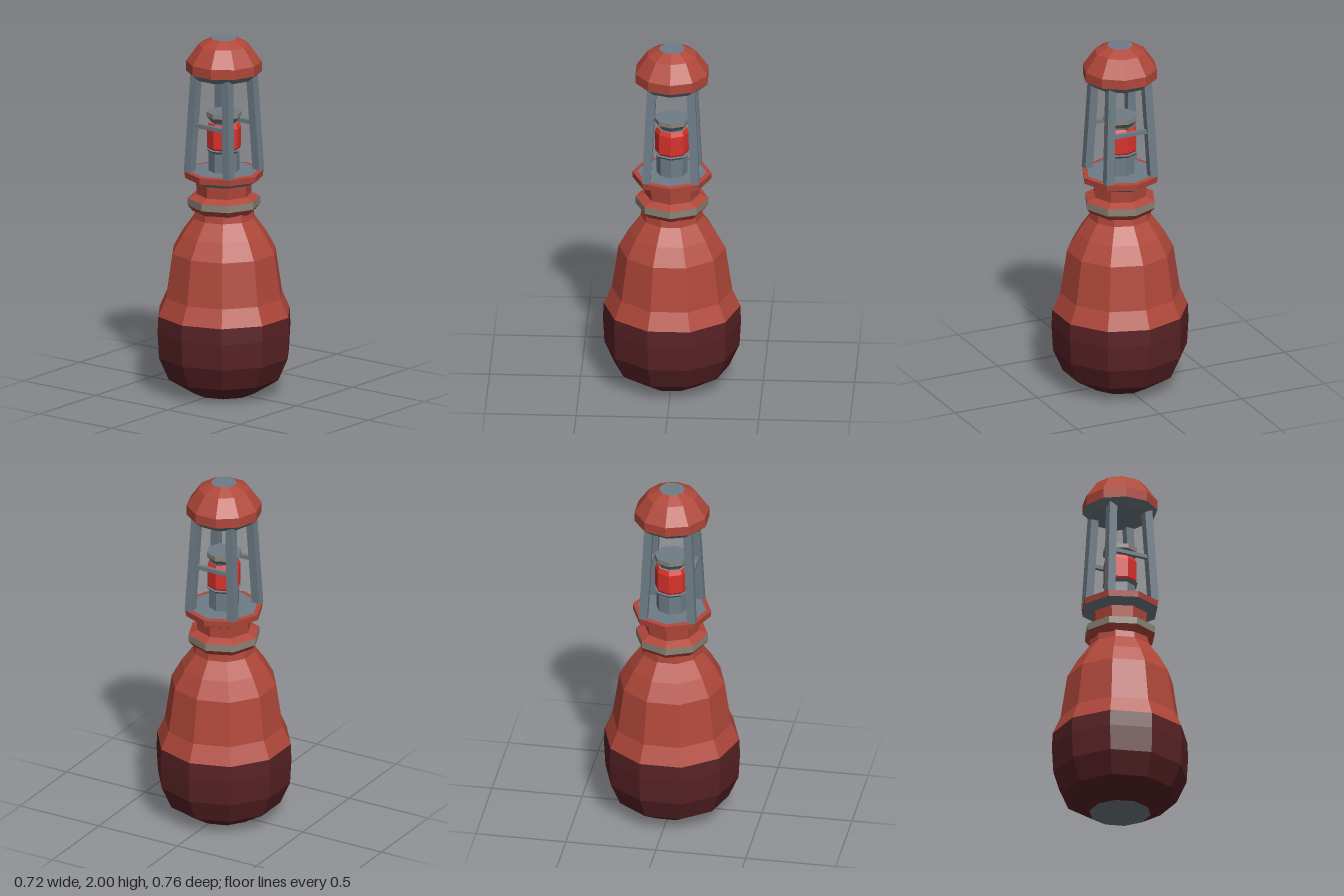
import * as THREE from 'three';

const material = (name, color) => {
  const m = new THREE.MeshStandardMaterial({ color });
  m.name = name;
  return m;
};

export function createModel() {
  const red = material('buoy red', 0xb0473a);
  const maroon = material('waterline maroon', 0x582226);
  const steel = material('steel grey', 0x6e7c86);
  const trim = material('warm grey trim', 0x8b8477);
  const glass = material('lamp red', 0xd8332c);

  const model = new THREE.Group();
  model.name = 'buoy';

  // Faceted mesh with hard edges
  const add = (name, geometry, mat, parent = model) => {
    const g = geometry.index ? geometry.toNonIndexed() : geometry;
    g.computeVertexNormals();
    const mesh = new THREE.Mesh(g, mat);
    mesh.name = name;
    parent.add(mesh);
    return mesh;
  };

  // Open wall turned from [radius, height] pairs, listed upward
  const wall = (name, profile, sides, mat, parent, turn = 0) => {
    const points = profile.map(([r, y]) => new THREE.Vector2(r, y));
    return add(name, new THREE.LatheGeometry(points, sides).rotateY(turn), mat, parent);
  };

  // Flat polygon facing up or down
  const disc = (name, r, y, sides, mat, up, parent, turn = 0) => {
    const g = new THREE.CylinderGeometry(up ? 0 : r, up ? r : 0, 0, sides, 1, true);
    return add(name, g.rotateY(turn).translate(0, y, 0), mat, parent);
  };

  // Square beam between two points, sheared so its ends stay level
  const post = (name, bottom, top, size, parent) => {
    const h = top.y - bottom.y;
    const g = new THREE.BoxGeometry(size, h, size).translate(0, h / 2, 0);
    const p = g.attributes.position;
    for (let i = 0; i < p.count; i++) {
      const t = p.getY(i) / h;
      p.setX(i, p.getX(i) + t * (top.x - bottom.x));
      p.setZ(i, p.getZ(i) + t * (top.z - bottom.z));
    }
    add(name, g.translate(bottom.x, bottom.y, bottom.z), mat(), parent);
  };
  const mat = () => steel;

  // Float body
  disc('floatBottom', 0.17, 0, 10, steel, false);
  wall('lowerFloat', [[0.17, 0], [0.315, 0.09], [0.37, 0.215], [0.378, 0.36], [0.374, 0.45]], 10, maroon);
  wall('upperFloat', [[0.374, 0.45], [0.33, 0.55], [0.293, 0.8], [0.237, 0.9], [0.172, 0.99], [0.165, 1.04]], 10, red);

  // Neck with its trim ring
  wall('neckFlare', [[0.155, 1.02], [0.175, 1.03], [0.2, 1.06]], 8, red);
  wall('neckRing', [[0.2, 1.06], [0.2, 1.1]], 8, trim);
  wall('neck', [[0.2, 1.1], [0.15, 1.122], [0.155, 1.2]], 8, red);

  // Platform
  wall('platformUnderside', [[0.15, 1.185], [0.215, 1.215]], 8, steel);
  wall('platformRim', [[0.215, 1.215], [0.218, 1.25], [0.19, 1.253]], 8, red);
  disc('platformDeck', 0.19, 1.253, 8, steel, true);

  // Lamp
  const lamp = new THREE.Group();
  lamp.name = 'lamp';
  model.add(lamp);
  wall('lampStem', [[0.085, 1.25], [0.085, 1.36], [0.1, 1.375], [0.07, 1.385]], 8, steel, lamp);
  wall('lampGlass', [[0.08, 1.365], [0.094, 1.39], [0.094, 1.5], [0.082, 1.525]], 8, glass, lamp);
  wall('lampCollar', [[0.07, 1.525], [0.075, 1.535], [0.097, 1.56]], 8, steel, lamp);
  wall('lampBand', [[0.097, 1.56], [0.097, 1.585]], 8, trim, lamp);
  disc('lampTop', 0.097, 1.585, 8, steel, true, lamp);

  // Cage of four leaning posts with a cross bar front and back
  const cage = new THREE.Group();
  cage.name = 'cage';
  model.add(cage);
  for (const sz of [-1, 1]) {
    for (const sx of [-1, 1]) {
      post('cagePost',
        new THREE.Vector3(sx * 0.134, 1.25, sz * 0.134),
        new THREE.Vector3(sx * 0.108, 1.8, sz * 0.108), 0.046, cage);
    }
    add('crossBar', new THREE.BoxGeometry(0.24, 0.022, 0.022).translate(0, 1.515, sz * 0.122), steel, cage);
  }

  // Cap, turned so a corner points to each side
  const turn = Math.PI / 2;
  const cap = new THREE.Group();
  cap.name = 'cap';
  model.add(cap);
  disc('capBottom', 0.165, 1.78, 10, steel, false, cap, turn);
  wall('capUnderside', [[0.165, 1.78], [0.207, 1.815]], 10, steel, cap, turn);
  wall('capShell', [[0.207, 1.815], [0.207, 1.87], [0.14, 1.965], [0.071, 2]], 10, red, cap, turn);
  disc('capTop', 0.071, 2, 10, steel, true, cap, turn);

  return model;
}
